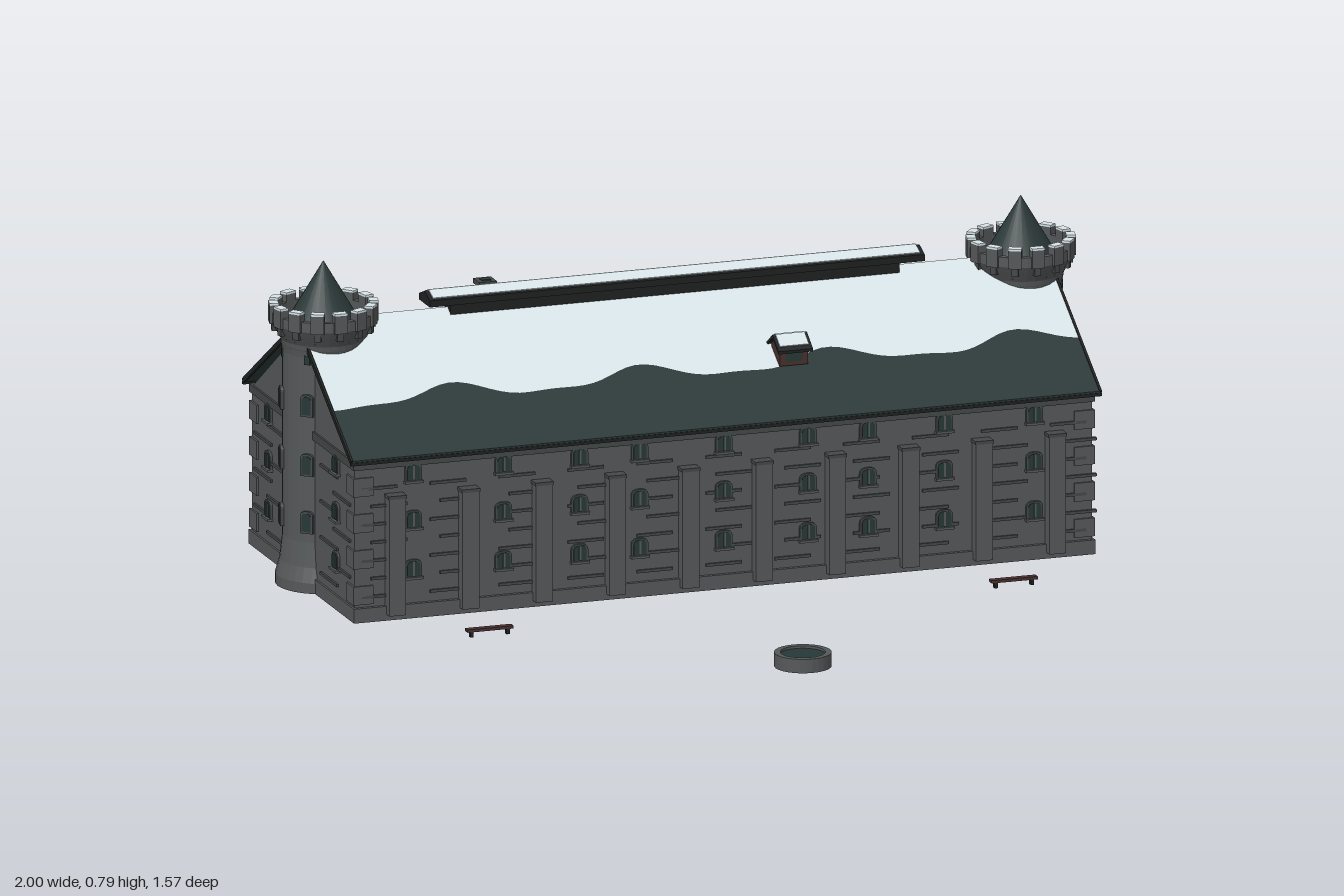
import * as THREE from 'three';

const mat = (name, color) => {
  const m = new THREE.MeshStandardMaterial({ color });
  m.name = name;
  return m;
};

export function createModel() {
  const stone = mat('stone', 0x555859);
  const trim = mat('dark stone trim', 0x454848);
  const slate = mat('slate', 0x2b3938);
  const snow = mat('snow', 0xd8e4e8);
  const iron = mat('dark edging', 0x1f2222);
  const glass = mat('window glass', 0x263836);
  const wood = mat('red brown wood', 0x472f2e);
  snow.side = THREE.DoubleSide;

  const root = new THREE.Group();
  root.name = 'castle';
  const CZ = -0.39;

  const add = (parent, name, geo, m, x = 0, y = 0, z = 0) => {
    const mesh = new THREE.Mesh(geo, m);
    mesh.name = name;
    mesh.position.set(x, y, z);
    parent.add(mesh);
    return mesh;
  };
  const box = (parent, name, w, h, d, m, x, y, z) =>
    add(parent, name, new THREE.BoxGeometry(w, h, d), m, x, y, z);
  const group = (parent, name, x = 0, y = 0, z = 0, ry = 0) => {
    const g = new THREE.Group();
    g.name = name;
    g.position.set(x, y, z);
    g.rotation.y = ry;
    parent.add(g);
    return g;
  };
  // Extrudes an outline of (z, y) points along x, centred on x = 0
  const alongX = (pts, length) => {
    const shape = new THREE.Shape(pts.map(p => new THREE.Vector2(p[0], p[1])));
    return new THREE.ExtrudeGeometry(shape, { depth: length, bevelEnabled: false })
      .translate(0, 0, -length / 2).rotateY(Math.PI / 2);
  };

  // Main block, plinth, cornice and gables
  box(root, 'walls', 1.84, 0.39, 0.73, stone, 0, 0.195, CZ);
  box(root, 'plinth', 1.85, 0.035, 0.75, stone, 0, 0.0175, CZ);
  box(root, 'cornice', 1.85, 0.02, 0.745, trim, 0, 0.382, CZ);
  add(root, 'gables', alongX([[-0.365, 0.385], [0.365, 0.385], [0, 0.625]], 1.84), stone, 0, 0, CZ);

  // Slate roof with an overhang
  add(root, 'slateRoof', alongX([[-0.385, 0.39], [-0.385, 0.4], [0, 0.64], [0.385, 0.4],
    [0.385, 0.39], [0, 0.63]], 1.87), slate, 0, 0, CZ);
  for (const s of [-1, 1]) {
    box(root, 'gutter', 1.874, 0.008, 0.008, iron, 0, 0.392, CZ + s * 0.383);
    for (const e of [-1, 1]) {
      const verge = box(root, 'verge', 0.006, 0.012, 0.453, iron, e * 0.934, 0.516, CZ + s * 0.1925);
      verge.rotation.x = s * Math.atan2(0.24, 0.385);
    }
  }

  // Snow sheets with a wavy lower edge
  const snowEdge = (x, phase) => 0.4 + 0.055 * Math.cos((x - phase) * 2 * Math.PI / 0.475)
    + 0.02 * Math.sin(x * 27 + phase);
  for (const s of [-1, 1]) {
    const pos = [], idx = [], N = 80;
    for (let i = 0; i <= N; i++) {
      const x = -0.93 + 1.86 * i / N;
      for (const t of [snowEdge(x, s > 0 ? -0.63 : -0.22), 1])
        pos.push(x, 0.403 + 0.24 * t, CZ + s * 0.385 * (1 - t));
      if (i < N) {
        const a = 2 * i;
        if (s > 0) idx.push(a, a + 2, a + 1, a + 1, a + 2, a + 3);
        else idx.push(a, a + 1, a + 2, a + 1, a + 3, a + 2);
      }
    }
    const geo = new THREE.BufferGeometry();
    geo.setAttribute('position', new THREE.Float32BufferAttribute(pos, 3));
    geo.setIndex(idx);
    geo.computeVertexNormals();
    add(root, 'roofSnow', geo, snow);
  }

  // Long lantern on the ridge
  box(root, 'lanternBase', 1.12, 0.045, 0.045, iron, 0, 0.64, CZ);
  add(root, 'lanternRoof', alongX([[-0.038, 0.656], [0.038, 0.656], [0.038, 0.672],
    [0, 0.687], [-0.038, 0.672]], 1.235), iron, 0, 0, CZ);
  for (const s of [-1, 1]) {
    const sheet = box(root, 'lanternSnow', 1.215, 0.004, 0.034, snow, 0, 0.6815, CZ + s * 0.0165);
    sheet.rotation.x = s * Math.atan2(0.015, 0.038);
  }

  // Arched window facing +z, standing on its group's origin
  const archShape = (w, h) => {
    const s = new THREE.Shape();
    s.moveTo(-w / 2, -h / 2);
    s.lineTo(w / 2, -h / 2);
    s.lineTo(w / 2, h / 2 - w / 3);
    s.quadraticCurveTo(w / 2, h / 2, 0, h / 2);
    s.quadraticCurveTo(-w / 2, h / 2, -w / 2, h / 2 - w / 3);
    return s;
  };
  const plate = (w, h, d) => new THREE.ExtrudeGeometry(archShape(w, h),
    { depth: d, bevelEnabled: false, curveSegments: 4 });
  const frameGeo = plate(0.042, 0.044, 0.006), paneGeo = plate(0.032, 0.036, 0.008);
  const wallWindow = (x, y, z, ry) => {
    const g = group(root, 'window', x, y, z, ry);
    add(g, 'frame', frameGeo, trim);
    add(g, 'pane', paneGeo, glass);
    box(g, 'mullion', 0.005, 0.036, 0.004, stone, 0, 0, 0.008);
    box(g, 'sill', 0.046, 0.006, 0.014, stone, 0, -0.023, 0.006);
  };

  // Long facades: buttresses, windows and broken stone courses
  const windowX = [-0.775, -0.55, -0.36, -0.21, 0, 0.21, 0.36, 0.55, 0.775];
  const rows = [0.12, 0.24, 0.355];
  for (const s of [-1, 1]) {
    const z = CZ + s * 0.365, ry = s > 0 ? 0 : Math.PI;
    for (let i = 0; i < 10; i++) {
      const x = -0.823 + i * 0.183;
      box(root, 'buttress', 0.042, 0.29, 0.04, stone, x, 0.16, CZ + s * 0.375);
      box(root, 'buttressCap', 0.046, 0.008, 0.042, trim, x, 0.304, CZ + s * 0.375);
    }
    for (const y of rows) for (const x of windowX) wallWindow(x, y, z, ry);
    for (let r = 0; r < 7; r++)
      for (let i = 0; i < 11; i++)
        box(root, 'stoneCourse', 0.09, 0.007, 0.01, trim,
          -0.86 + i * 0.172 + (r % 2) * 0.025, 0.06 + r * 0.044, z);
  }

  // End walls
  for (const e of [-1, 1]) {
    for (const y of rows) for (const s of [-1, 1])
      wallWindow(e * 0.92, y, CZ + s * 0.24, e * Math.PI / 2);
    for (let r = 0; r < 7; r++) for (const s of [-1, 1])
      box(root, 'stoneCourse', 0.01, 0.007, 0.12, trim, e * 0.92, 0.06 + r * 0.044,
        CZ + s * (0.19 + (r % 2) * 0.09));
    // Corner stones
    for (let r = 0; r < 4; r++) for (const s of [-1, 1])
      box(root, 'cornerStone', 0.05, 0.045, 0.05, stone, e * 0.9, 0.065 + r * 0.088, CZ + s * 0.345);
  }

  // Round end towers with battlements and a pointed roof
  const profile = [[0, 0], [0.114, 0], [0.114, 0.025], [0.104, 0.06], [0.097, 0.12], [0.097, 0.57],
    [0.102, 0.6], [0.116, 0.625], [0.124, 0.64], [0.124, 0.664], [0.108, 0.664],
    [0.108, 0.63], [0, 0.63]].map(p => new THREE.Vector2(p[0], p[1]));
  const slitFrame = plate(0.032, 0.054, 0.012), slitPane = plate(0.022, 0.044, 0.014);
  for (const e of [-1, 1]) {
    const t = group(root, 'tower', e * 0.87, 0, CZ);
    const shaft = new THREE.LatheGeometry(profile, 32).toNonIndexed();
    shaft.computeVertexNormals();
    add(t, 'shaft', shaft, stone);
    add(t, 'towerBand', new THREE.CylinderGeometry(0.1, 0.1, 0.008, 32), trim, 0, 0.59, 0);
    add(t, 'pointedRoof', new THREE.ConeGeometry(0.106, 0.178, 24), slate, 0, 0.696, 0);
    for (let i = 0; i < 14; i++) {
      const m = group(t, 'merlon', 0, 0, 0, i * Math.PI / 7);
      box(m, 'merlonStone', 0.032, 0.044, 0.022, stone, 0, 0.66, 0.118);
      box(m, 'merlonSnow', 0.032, 0.005, 0.022, snow, 0, 0.6845, 0.118);
      box(m, 'corbel', 0.016, 0.024, 0.016, trim, 0, 0.63, 0.115);
    }
    for (let i = 0; i < 6; i++) {
      const a = e * Math.PI / 2 + (-12 + 60 * i) * Math.PI / 180;
      for (const y of [0.17, 0.31, 0.455]) {
        const w = group(t, 'towerWindow', Math.sin(a) * 0.092, y, Math.cos(a) * 0.092, a);
        add(w, 'frame', slitFrame, trim);
        add(w, 'pane', slitPane, glass);
      }
      const slot = group(t, 'arrowSlot', 0, 0.565, 0, a);
      box(slot, 'slot', 0.014, 0.022, 0.006, glass, 0, 0, 0.097);
    }
  }

  // Dormers, one on each slope
  for (const s of [-1, 1]) {
    const d = group(root, 'dormer', 0.218, 0, CZ + s * 0.215);
    box(d, 'dormerBody', 0.07, 0.045, 0.06, wood, 0, 0.515, 0);
    add(d, 'dormerGable', alongX([[-0.03, 0.535], [0.03, 0.535], [0, 0.556]], 0.07), wood);
    add(d, 'dormerRoof', alongX([[-0.044, 0.526], [-0.044, 0.533], [0, 0.563], [0.044, 0.533],
      [0.044, 0.526], [0, 0.554]], 0.086), iron);
    box(d, 'dormerWindow', 0.04, 0.024, 0.004, glass, 0, 0.515, s * 0.031);
    for (const k of [-1, 1]) {
      const sheet = box(d, 'dormerSnow', 0.072, 0.004, 0.038, snow, 0, 0.552, k * 0.018);
      sheet.rotation.x = k * Math.atan2(0.03, 0.044);
    }
  }

  // Chimney
  box(root, 'chimney', 0.034, 0.15, 0.034, stone, -0.405, 0.57, -0.565);
  box(root, 'chimneyCap', 0.044, 0.012, 0.044, trim, -0.405, 0.643, -0.565);
  box(root, 'flue', 0.022, 0.004, 0.022, slate, -0.405, 0.65, -0.565);

  // Round basin in the forecourt
  const basin = [[0, 0.01], [0.068, 0.01], [0.068, 0.044], [0.053, 0.044], [0.053, 0.034], [0, 0.034]]
    .map(p => new THREE.Vector2(p[0], p[1]));
  const basinGeo = new THREE.LatheGeometry(basin, 28).toNonIndexed();
  basinGeo.computeVertexNormals();
  add(root, 'basin', basinGeo, stone, -0.062, 0, 0.717);
  add(root, 'water', new THREE.CylinderGeometry(0.053, 0.053, 0.004, 28), glass, -0.062, 0.036, 0.717);

  // Benches
  for (const x of [-0.67, 0.638]) {
    const b = group(root, 'bench', x, 0, 0.22);
    box(b, 'seat', 0.115, 0.007, 0.018, wood, 0, 0.027, 0);
    for (const s of [-1, 1]) box(b, 'leg', 0.008, 0.014, 0.012, iron, s * 0.045, 0.017, 0);
  }
  return root;
}
